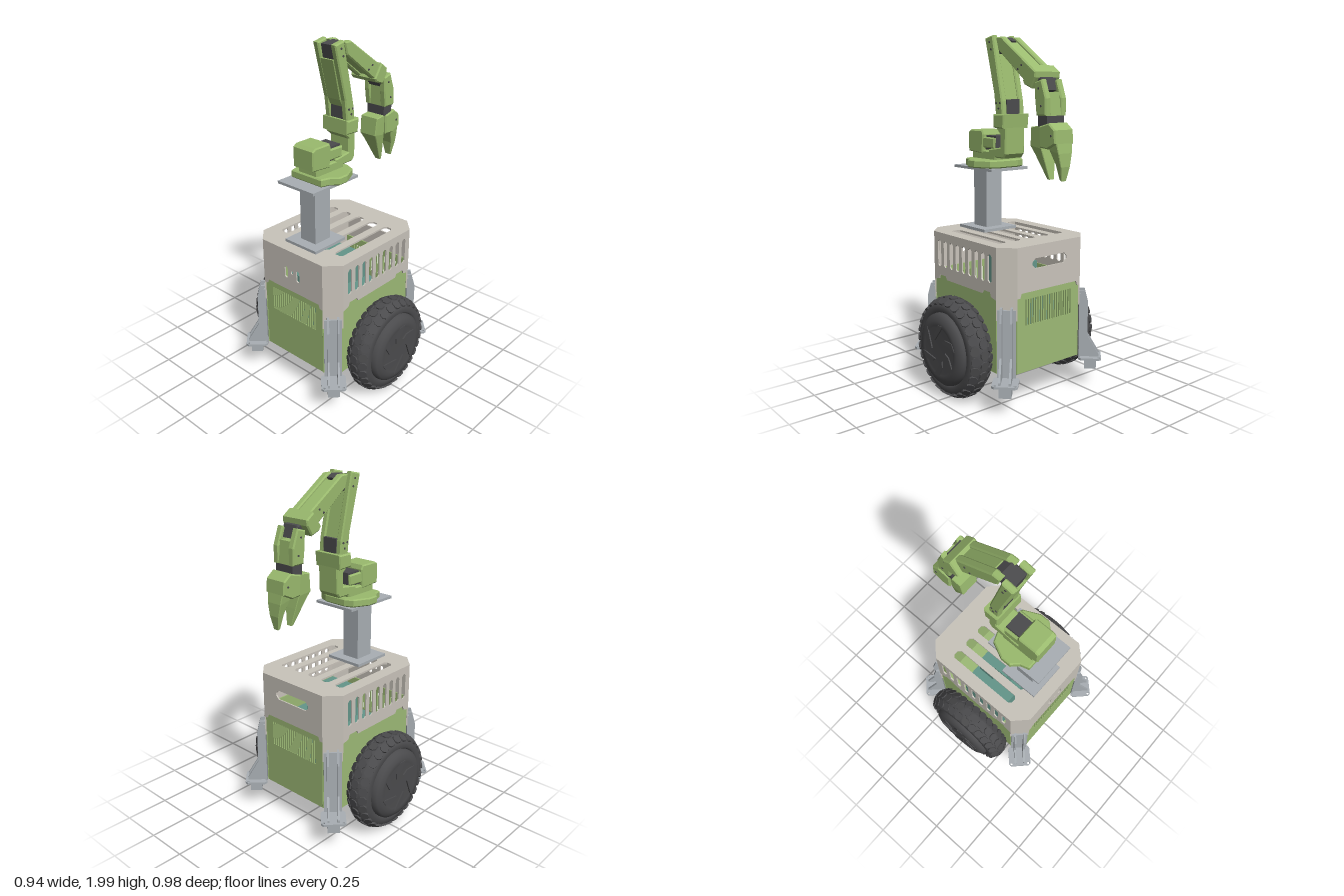
import * as THREE from 'three';

const mat = (name, color) => {
  const m = new THREE.MeshStandardMaterial({ color });
  m.name = name;
  return m;
};

export function createModel() {
  const beige = mat('warm beige', 0xc9c4bb), green = mat('panel green', 0x9dba76);
  const armGreen = mat('arm green', 0x9aba6e), grey = mat('steel grey', 0xa9afb4);
  const dark = mat('rubber dark', 0x4b4b4d), teal = mat('circuit teal', 0x64968a);
  const root = new THREE.Group();

  const add = (parent, name, geo, m) => {
    const mesh = new THREE.Mesh(geo, m);
    mesh.name = name;
    parent.add(mesh);
    return mesh;
  };
  const group = (parent, name, x = 0, y = 0, z = 0, ry = 0) => {
    const g = new THREE.Group();
    g.name = name;
    g.position.set(x, y, z);
    g.rotation.y = ry;
    parent.add(g);
    return g;
  };
  // Box given by its extents on each axis
  const box = (parent, name, m, x0, x1, y0, y1, z0, z1) => {
    const mesh = add(parent, name, new THREE.BoxGeometry(x1 - x0, y1 - y0, z1 - z0), m);
    mesh.position.set((x0 + x1) / 2, (y0 + y1) / 2, (z0 + z1) / 2);
    return mesh;
  };
  const poly = pts => new THREE.Shape(pts.map(p => new THREE.Vector2(p[0], p[1])));
  // Rectangle with cut corners, used for slots and plates
  const cutRect = (cx, cy, w, h, c) => {
    const a = w / 2, b = h / 2;
    return [[-a + c, -b], [a - c, -b], [a, -b + c], [a, b - c], [a - c, b], [-a + c, b], [-a, b - c], [-a, -b + c]]
      .map(([x, y]) => [cx + x, cy + y]);
  };
  const plate = (pts, holes, depth) => {
    const s = poly(pts);
    s.holes = holes.map(poly);
    return new THREE.ExtrudeGeometry(s, { depth, bevelEnabled: false, curveSegments: 6 });
  };
  // Side profile in x, y extruded from z0 to z1 with a small bevel
  const prism = (parent, name, m, pts, z0, z1, b = 0.007) => {
    const geo = new THREE.ExtrudeGeometry(poly(pts), {
      depth: z1 - z0 - 2 * b, bevelThickness: b, bevelSize: b, bevelOffset: -b, bevelSegments: 1,
    });
    geo.translate(0, 0, z0 + b);
    return add(parent, name, geo, m);
  };

  // ---------- Chassis: eight walls, floor and slotted lid ----------
  const body = group(root, 'body', -0.0075);
  const HX = 0.3675, HZ = 0.31, C = 0.08, T = 0.008;
  const wall = (name, m, pts, holes, x, z, inset) => {
    const g = group(body, name, x, 0, z, Math.atan2(Math.abs(x) > 0.01 ? Math.sign(x) : 0, Math.sign(z)));
    add(g, name + 'Panel', plate(pts, holes, T), m).position.z = -T - inset;
  };
  const wz = HX - C, wx = HZ - C, wc = C / Math.SQRT2;
  const rect = (w, y0, y1) => [[-w, y0], [w, y0], [w, y1], [-w, y1]];
  const ventSlots = Array.from({ length: 20 }, (_, i) => rect(0.0042, 0.46, 0.605).map(([x, y]) => [x + (i - 9.5) * 0.0172, y]));
  const grille = Array.from({ length: 9 }, (_, i) => cutRect((i - 4) * 0.0585, 0.773, 0.032, 0.155, 0.011));
  for (const s of [1, -1]) {
    const tab = [[-wz, 0.61], [-0.245, 0.62], [-0.235, 0.645], [-0.175, 0.645], [-0.165, 0.625],
      [0.165, 0.625], [0.175, 0.645], [0.235, 0.645], [0.245, 0.62], [wz, 0.61]];
    wall('wheelSideCover', beige, [...tab, [wz, 0.89], [-wz, 0.89]], grille, 0, s * HZ, 0);
    wall('wheelSideLower', green, rect(wz, 0.2, 0.65), [], 0, s * HZ, T);
    const handle = s > 0 ? [cutRect(0, 0.795, 0.25, 0.055, 0.02)]
      : [cutRect(-0.045, 0.755, 0.024, 0.07, 0.008), cutRect(0.045, 0.755, 0.024, 0.07, 0.008), cutRect(0, 0.765, 0.018, 0.02, 0.005)];
    wall('endCover', beige, [[-wx, 0.62], [-0.21, 0.62], [-0.2, 0.645], [0.2, 0.645], [0.21, 0.62], [wx, 0.62], [wx, 0.89], [-wx, 0.89]],
      handle, s * HX, 0, 0);
    wall('endLower', green, rect(wx, 0.2, 0.65), ventSlots, s * HX, 0, T);
    for (const t of [1, -1]) {
      wall('cornerCover', beige, rect(wc, 0.5, 0.89), [], s * (HX - C / 2), t * (HZ - C / 2), 0);
      wall('cornerLower', green, rect(wc, 0.2, 0.52), [], s * (HX - C / 2), t * (HZ - C / 2), T);
    }
  }
  const octagon = cutRect(0, 0, 2 * HX, 2 * HZ, C);
  const topSlots = [-2, -1, 0, 1, 2].map(i => cutRect(0, i * 0.104, 0.445, 0.057, 0.015));
  const lid = add(body, 'lid', plate(octagon, topSlots, 0.01), beige);
  lid.rotation.x = -Math.PI / 2;
  lid.position.y = 0.885;
  const floor = add(body, 'floor', plate(cutRect(0, 0, 2 * HX - 0.016, 2 * HZ - 0.016, C), [], 0.01), green);
  floor.rotation.x = -Math.PI / 2;
  floor.position.y = 0.2;
  // Electronics inside
  box(root, 'electronics', teal, -0.155, 0.14, 0.215, 0.58, -0.24, 0.24);
  box(root, 'circuitStack', teal, -0.08, 0.01, 0.58, 0.77, -0.1, 0.1);
  box(root, 'circuitBoard', teal, 0.01, 0.12, 0.58, 0.73, -0.12, 0.12);

  // ---------- Corner legs ----------
  for (const sx of [1, -1]) for (const sz of [1, -1]) {
    const leg = group(body, 'cornerLeg', sx * (HX - C / 2), 0, sz * (HZ - C / 2), Math.atan2(sx, sz));
    box(leg, 'legBackplate', grey, -0.05, 0.05, 0.18, 0.56, 0, 0.01);
    for (const x of [-0.028, 0.028]) {
      const rib = add(leg, 'legRib', plate([[0, 0.18], [0.115, 0.18], [0.115, 0.2], [0.05, 0.31], [0.05, 0.5], [0.03, 0.575], [0, 0.575]], [], 0.012), grey);
      rib.rotation.y = -Math.PI / 2;
      rib.position.x = x + 0.006;
    }
    const bolts = [-0.055, 0.055].map(x => cutRect(x, -0.115, 0.014, 0.014, 0.004));
    const foot = add(leg, 'footPlate', plate(cutRect(0, -0.065, 0.14, 0.13, 0.014), bolts, 0.013), grey);
    foot.rotation.x = -Math.PI / 2;
    foot.position.y = 0.172;
    box(leg, 'footBlock', grey, -0.034, 0.034, 0.11, 0.172, 0.034, 0.102);
  }

  // ---------- Wheels ----------
  const tireProfile = [[0, -0.068], [0.2, -0.07], [0.245, -0.067], [0.27, -0.045], [0.279, -0.015], [0.279, 0.015],
    [0.27, 0.045], [0.245, 0.067], [0.215, 0.072], [0.205, 0.06]];
  const hubProfile = [[0.206, 0.055], [0.203, 0.078], [0.19, 0.092], [0.165, 0.104], [0.14, 0.104], [0.13, 0.1], [0, 0.1]];
  const lathe = pts => new THREE.LatheGeometry(pts.map(p => new THREE.Vector2(...p)), 48).rotateX(Math.PI / 2);
  for (const s of [1, -1]) {
    const wheel = group(root, 'wheel', -0.007, 0.291, s * 0.381, s > 0 ? 0 : Math.PI);
    add(wheel, 'tire', lathe(tireProfile), dark);
    add(wheel, 'hub', lathe(hubProfile), dark);
    // Tread blocks: a middle row and two shoulder rows
    for (let i = 0; i < 30; i++) for (const row of [-1, 0, 1]) {
      const spoke = group(wheel, 'treadRow');
      spoke.rotation.z = (i + (row ? 0.5 : 0)) / 30 * Math.PI * 2;
      const hex = plate(cutRect(0, 0, 0.047, 0.046, 0.012), [], 0.012).rotateX(-Math.PI / 2);
      const block = add(spoke, 'treadBlock', hex, dark);
      block.position.set(0, row ? 0.259 : 0.273, row * 0.046);
      block.rotation.x = row * 0.55;
    }
    // Swirling hub vanes
    for (let i = 0; i < 6; i++) {
      const vane = add(wheel, 'hubVane', plate([[0.03, 0.055], [0.15, 0.035], [0.125, 0.075], [0.06, 0.075]], [], 0.008), dark);
      vane.position.z = 0.1;
      vane.rotation.z = i * Math.PI / 3;
    }
  }

  // ---------- Mast ----------
  box(root, 'mastBasePlate', grey, -0.305, -0.065, 0.895, 0.911, -0.117, 0.117);
  box(root, 'mast', grey, -0.243, -0.125, 0.911, 1.252, -0.056, 0.056);
  box(root, 'mastTopPlate', grey, -0.333, 0.02, 1.252, 1.267, -0.132, 0.132);

  // ---------- Robot arm ----------
  const arm = group(root, 'arm');
  // Both sides of a mirrored pair of profiles
  const pair = (name, m, pts, z0, z1) => {
    prism(arm, name, m, pts, z0, z1);
    prism(arm, name, m, pts, -z1, -z0);
  };
  const half = [[-0.25, 0.11], [-0.2, 0.125], [-0.16, 0.163], [-0.1, 0.163], [-0.01, 0.12], [0.01, 0.07]];
  const outline = [...half, ...half.map(([x, z]) => [x, -z]).reverse()];
  const armBase = prism(arm, 'armBase', armGreen, outline, 0, 0.046);
  armBase.rotation.x = -Math.PI / 2;
  armBase.position.y = 1.267;
  prism(arm, 'turretBlock', armGreen, [[-0.27, 1.35], [-0.14, 1.34], [-0.13, 1.45], [-0.14, 1.475], [-0.25, 1.475], [-0.272, 1.46]], -0.075, 0.075);
  prism(arm, 'turretFoot', armGreen, [[-0.24, 1.3], [-0.03, 1.3], [-0.02, 1.36], [-0.24, 1.36]], -0.07, 0.07);
  box(arm, 'baseMotor', dark, -0.15, -0.04, 1.365, 1.445, -0.052, 0.052);
  pair('motorCheek', armGreen, [[-0.2, 1.375], [-0.04, 1.375], [-0.035, 1.435], [-0.2, 1.44]], 0.05, 0.07);
  prism(arm, 'shoulderBracket', armGreen, [[-0.09, 1.325], [0.045, 1.325], [0.065, 1.35], [0.07, 1.56], [-0.015, 1.56], [-0.02, 1.49],
    [0.015, 1.46], [0.015, 1.385], [-0.09, 1.37]], -0.07, 0.07);
  prism(arm, 'shoulderBlock', armGreen, [[-0.022, 1.495], [0.068, 1.49], [0.075, 1.57], [-0.02, 1.57]], -0.095, 0.09);
  box(arm, 'shoulderMotor', dark, -0.005, 0.05, 1.56, 1.65, -0.045, 0.045);
  // Upper arm
  const upper = [[-0.105, 1.982], [-0.035, 1.997], [0.045, 1.64], [0.052, 1.56], [-0.01, 1.56], [-0.025, 1.68]];
  pair('upperArmSide', armGreen, upper, 0.042, 0.08);
  prism(arm, 'upperArmWeb', armGreen, [[-0.085, 1.9], [-0.025, 1.9], [0.035, 1.64], [-0.01, 1.64], [-0.03, 1.68]], -0.05, 0.05);
  prism(arm, 'elbowMotor', dark, [[-0.085, 1.975], [0.0, 1.985], [0.04, 1.965], [0.0, 1.895], [-0.07, 1.895]], -0.045, 0.045);
  // Forearm
  const fore = [[-0.02, 1.985], [0.03, 1.985], [0.265, 1.825], [0.225, 1.745], [0.0, 1.915]];
  pair('forearmSide', armGreen, fore, 0.028, 0.07);
  prism(arm, 'forearmWeb', armGreen, [[0.05, 1.955], [0.25, 1.82], [0.22, 1.765], [0.03, 1.905]], -0.04, 0.04);
  prism(arm, 'wristBlock', armGreen, [[0.215, 1.75], [0.27, 1.83], [0.32, 1.795], [0.318, 1.765], [0.285, 1.71], [0.23, 1.73]], -0.1, 0.08);
  prism(arm, 'wristMotor', dark, [[0.285, 1.77], [0.34, 1.765], [0.36, 1.7], [0.31, 1.685]], -0.052, 0.052);
  // Hand
  pair('wristSide', armGreen, [[0.305, 1.74], [0.36, 1.757], [0.395, 1.66], [0.395, 1.57], [0.32, 1.57], [0.308, 1.66]], 0.035, 0.075);
  prism(arm, 'wristBody', armGreen, [[0.32, 1.69], [0.38, 1.69], [0.392, 1.57], [0.322, 1.57]], -0.06, 0.06);
  box(arm, 'gripperMotor', dark, 0.322, 0.39, 1.515, 1.58, -0.06, 0.06);
  prism(arm, 'gripperPalm', armGreen, [[0.335, 1.515], [0.41, 1.535], [0.455, 1.5], [0.46, 1.43], [0.4, 1.4], [0.34, 1.405]], -0.068, 0.068);
  const jaw = (name, pts) => {
    const mesh = prism(arm, name, armGreen, pts, -0.06, 0.06, 0.004);
    const p = mesh.geometry.attributes.position;
    for (let i = 0; i < p.count; i++) {
      const k = THREE.MathUtils.clamp((p.getY(i) - 1.23) / 0.2, 0, 1);
      p.setZ(i, p.getZ(i) * (0.25 + 0.75 * k));
    }
    mesh.geometry.computeVertexNormals();
  };
  jaw('innerJaw', [[0.265, 1.51], [0.335, 1.52], [0.34, 1.4], [0.352, 1.33], [0.366, 1.235], [0.35, 1.235], [0.28, 1.37], [0.255, 1.41]]);
  jaw('outerJaw', [[0.37, 1.45], [0.455, 1.46], [0.468, 1.38], [0.47, 1.31], [0.458, 1.235], [0.445, 1.24], [0.432, 1.32], [0.4, 1.395]]);
  // Joint bolts on both sides of the arm
  const bolt = new THREE.CylinderGeometry(0.006, 0.006, 0.006, 8).rotateX(Math.PI / 2);
  for (const [x, y, z] of [[0.02, 1.6, 0.08], [0.0, 1.63, 0.08], [0.03, 1.63, 0.08], [-0.06, 1.96, 0.08], [-0.045, 1.92, 0.08],
    [0.2, 1.83, 0.07], [0.17, 1.81, 0.07], [0.34, 1.71, 0.075], [0.36, 1.62, 0.075], [0.43, 1.47, 0.068]]) {
    for (const s of [1, -1]) add(arm, 'jointBolt', bolt, dark).position.set(x, y, s * z);
  }
  return root;
}
